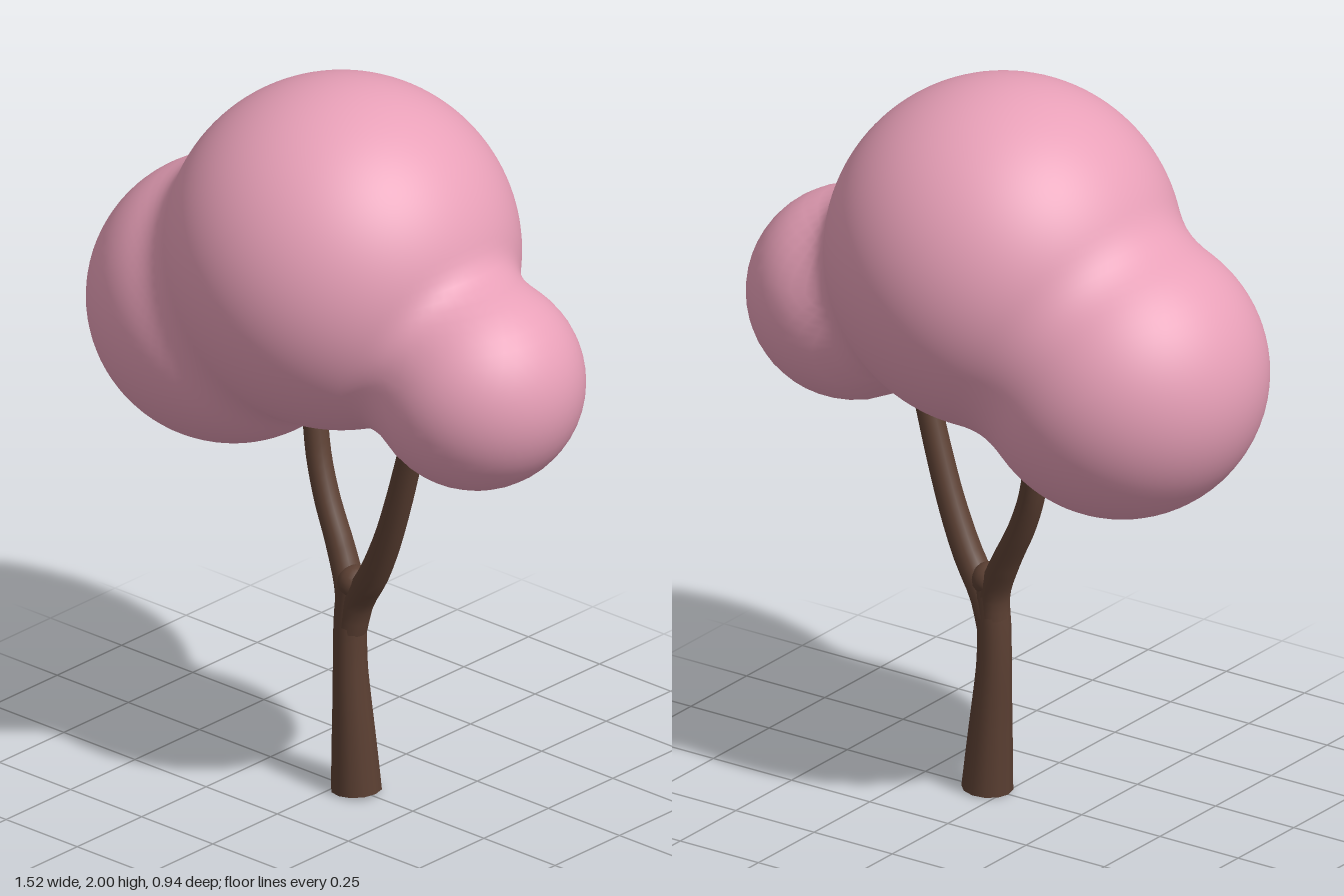
import * as THREE from 'three';
import { mergeVertices } from 'three/addons/utils/BufferGeometryUtils.js';

const pink = new THREE.MeshStandardMaterial({ color: 0xe8a0b8 });
const brown = new THREE.MeshStandardMaterial({ color: 0x5c4033 });
const V = (x, y, z) => new THREE.Vector3(x, y, z);

// Foliage balls: centre and radius
const balls = [
  [V(0, 1.53, 0), 0.47],
  [V(-0.38, 1.28, 0), 0.385],
  [V(0.475, 1.3, 0), 0.285],
];

// Distance to the balls, softly blended where they meet
function canopyDistance(p) {
  const blend = 0.08;
  return balls
    .map(([c, r]) => p.distanceTo(c) - r)
    .reduce((a, b) => {
      const h = Math.max(blend - Math.abs(a - b), 0) / blend;
      return Math.min(a, b) - h * h * blend * 0.25;
    });
}

// Shrink a large sphere along its radii onto the blended balls
function canopyGeometry() {
  const geo = new THREE.IcosahedronGeometry(1, 24);
  geo.deleteAttribute('uv');
  geo.deleteAttribute('normal');
  const sphere = mergeVertices(geo, 1e-4);
  const pos = sphere.attributes.position;
  const core = V(-0.03, 1.39, 0);
  const dir = V(0, 0, 0), p = V(0, 0, 0);
  for (let i = 0; i < pos.count; i++) {
    dir.fromBufferAttribute(pos, i).normalize();
    let t = 1.3;
    for (let k = 0; k < 80; k++) {
      p.copy(core).addScaledVector(dir, t);
      const d = canopyDistance(p);
      t -= d;
      if (Math.abs(d) < 1e-4) break;
    }
    p.copy(core).addScaledVector(dir, t);
    pos.setXYZ(i, p.x, p.y, p.z);
  }
  sphere.computeVertexNormals();
  return sphere;
}

// Tube along a curve whose radius follows a list of values
function taperedTube(points, radii, steps = 14, sides = 12) {
  const curve = new THREE.CatmullRomCurve3(points);
  const geo = new THREE.TubeGeometry(curve, steps, 1, sides);
  const pos = geo.attributes.position;
  const p = V(0, 0, 0);
  for (let i = 0; i <= steps; i++) {
    const centre = curve.getPointAt(i / steps);
    const f = (i / steps) * (radii.length - 1);
    const k = Math.min(Math.floor(f), radii.length - 2);
    const r = THREE.MathUtils.lerp(radii[k], radii[k + 1], f - k);
    for (let j = 0; j <= sides; j++) {
      const n = i * (sides + 1) + j;
      p.fromBufferAttribute(pos, n).sub(centre).multiplyScalar(r).add(centre);
      pos.setXYZ(n, p.x, p.y, p.z);
    }
  }
  return geo;
}

export function createModel() {
  const tree = new THREE.Group();
  tree.name = 'tree';
  const add = (name, geo, mat, at) => {
    const mesh = new THREE.Mesh(geo, mat);
    mesh.name = name;
    if (at) mesh.position.copy(at);
    tree.add(mesh);
    return mesh;
  };

  add('canopy', canopyGeometry(), pink);

  // Trunk, leaning slightly, with a flat foot
  add('trunk', taperedTube(
    [V(0.052, 0, 0), V(0.041, 0.18, 0), V(0.03, 0.37, 0), V(0.032, 0.5, 0), V(0.042, 0.6, 0)],
    [0.068, 0.061, 0.053, 0.046, 0.045, 0.042]), brown);
  add('trunkFoot', new THREE.CircleGeometry(0.068, 12), brown, V(0.052, 0.001, 0)).rotation.x = Math.PI / 2;
  add('fork', new THREE.SphereGeometry(0.047, 14, 10), brown, V(0.046, 0.59, 0));

  // Two branches that spread sideways and in depth
  const branches = {
    rightBranch: [V(0.03, 0.45, 0), V(0.025, 0.56, -0.005), V(-0.02, 0.66, -0.02),
      V(-0.085, 0.78, -0.037), V(-0.125, 0.88, -0.05), V(-0.148, 0.98, -0.06)],
    leftBranch: [V(0.032, 0.45, 0), V(0.06, 0.54, 0.003), V(0.125, 0.64, 0.015),
      V(0.185, 0.76, 0.028), V(0.24, 0.9, 0.042), V(0.297, 1.07, 0.055), V(0.33, 1.16, 0.06)],
  };
  for (const [name, path] of Object.entries(branches)) {
    add(name, taperedTube(path, [0.043, 0.041, 0.037, 0.035, 0.034], 18), brown);
    add(name + 'Tip', new THREE.SphereGeometry(0.034, 12, 8), brown, path[path.length - 1]).scale.y = 0.7;
  }
  return tree;
}
